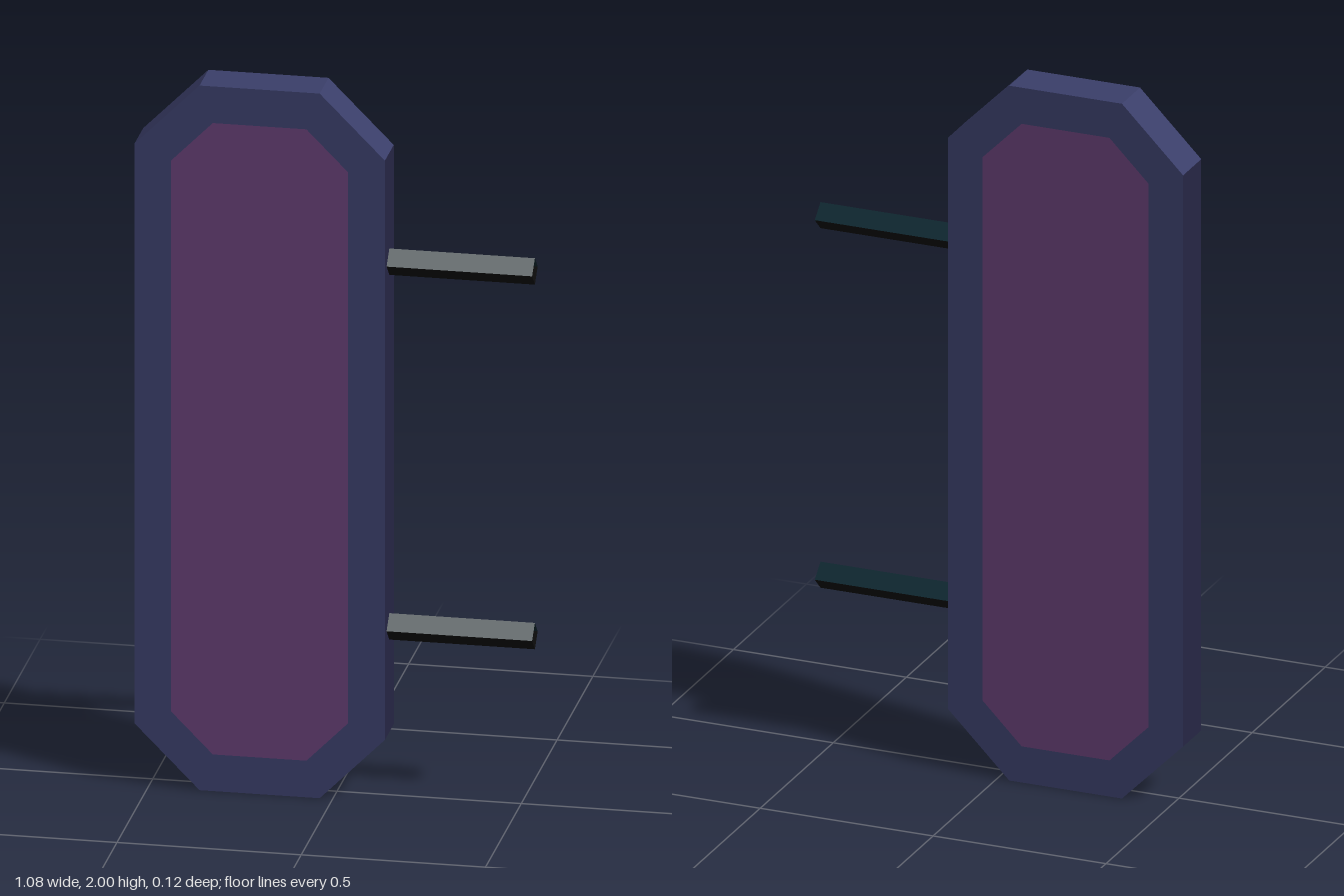
import * as THREE from 'three';

const mat = (name, color) => new THREE.MeshStandardMaterial({ name, color, side: THREE.DoubleSide });

// Closed, counter-clockwise eight-sided outline with cut corners
function octagon(hw, hh, cx, cy) {
  return [[hw, -cy], [hw, cy], [cx, hh], [-cx, hh], [-hw, cy], [-hw, -cy], [-cx, -hh], [cx, -hh]]
    .map(([x, y]) => new THREE.Vector2(x, y));
}

// Open-ended flat-sided wall round an outline, one material group per side
function wall(points, depth, materials) {
  const pos = [];
  const h = depth / 2;
  points.forEach((a, i) => {
    const b = points[(i + 1) % points.length];
    pos.push(a.x, a.y, h, a.x, a.y, -h, b.x, b.y, -h);
    pos.push(a.x, a.y, h, b.x, b.y, -h, b.x, b.y, h);
  });
  const geo = new THREE.BufferGeometry();
  geo.setAttribute('position', new THREE.Float32BufferAttribute(pos, 3));
  geo.computeVertexNormals();
  materials.forEach((m, i) => geo.addGroup(i * 6, 6, i));
  return new THREE.Mesh(geo, materials);
}

export function createModel() {
  const navy = mat('navy frame', 0x3a3e69);
  const sideNavy = mat('dark navy side', 0x262645);
  const purple = mat('purple panel', 0x643e73);
  const teal = mat('dark teal', 0x0f2831);
  const grey = mat('grey metal', 0x6a7173);
  const black = mat('black metal', 0x0b0b0b);

  const model = new THREE.Group();
  model.name = 'hangingSign';

  // Sign board: edge walls, then a frame and inset panel on each face
  const board = new THREE.Group();
  board.name = 'board';
  board.position.set(-0.198, 1, 0);
  model.add(board);

  const depth = 0.124;
  const outer = octagon(0.34, 1, 0.163, 0.822);
  const inner = octagon(0.24, 0.896, 0.127, 0.782);

  const edge = wall(outer, depth, [sideNavy, navy, navy, navy, sideNavy, teal, teal, teal]);
  edge.name = 'boardEdge';
  board.add(edge);

  const frameShape = new THREE.Shape(outer);
  frameShape.holes.push(new THREE.Path(inner));
  const frameGeo = new THREE.ShapeGeometry(frameShape);
  const panelGeo = new THREE.ShapeGeometry(new THREE.Shape(inner));

  for (const [side, turn] of [['front', 0], ['back', Math.PI]]) {
    const face = new THREE.Group();
    face.name = side + 'Face';
    face.rotation.y = turn;
    const frame = new THREE.Mesh(frameGeo, navy);
    frame.name = side + 'Frame';
    const panel = new THREE.Mesh(panelGeo, purple);
    panel.name = side + 'Panel';
    frame.position.z = panel.position.z = depth / 2;
    face.add(frame, panel);
    board.add(face);
  }

  // Two hollow diamond-section mounting rods on the +x side
  const diamond = [[0.039, 0], [0, 0.0375], [-0.039, 0], [0, -0.0375]]
    .map(([x, y]) => new THREE.Vector2(x, y));
  for (const [name, y] of [['upperRod', 1.513], ['lowerRod', 0.478]]) {
    const rod = wall(diamond, 0.395, [teal, grey, black, black]);
    rod.name = name;
    rod.rotation.y = Math.PI / 2;
    rod.position.set(0.3395, y, 0);
    model.add(rod);
  }

  return model;
}
